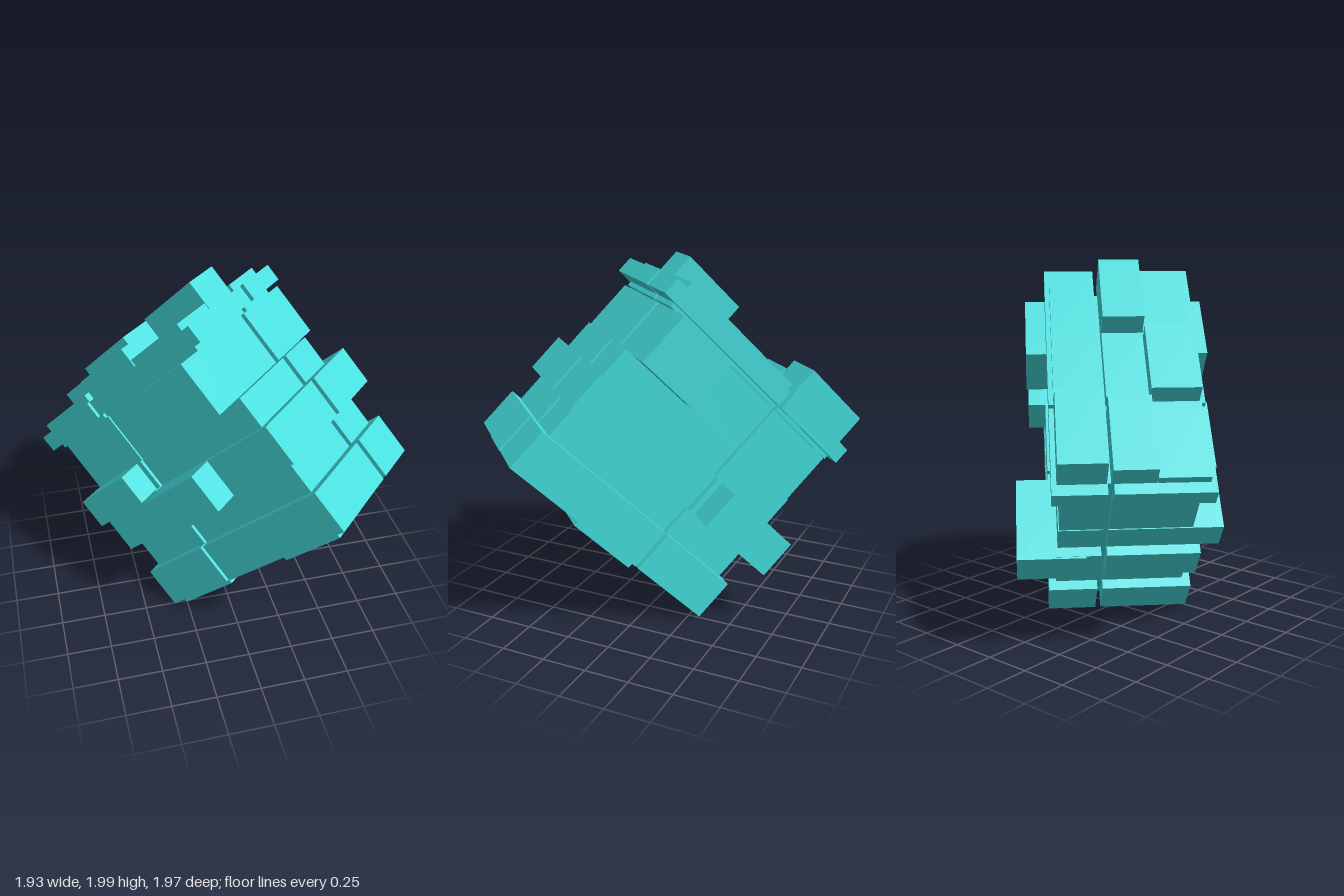
import * as THREE from 'three';

// Block puzzle tilted onto one edge. Local axes: u across, v along, w through the stacked layers.
export function createModel() {
  const model = new THREE.Group();
  model.name = 'blockPuzzle';
  const tilted = new THREE.Group();
  tilted.name = 'tiltedBlocks';
  const s = Math.SQRT1_2;
  const basis = new THREE.Matrix4().makeBasis(
    new THREE.Vector3(s, 0, -s),
    new THREE.Vector3(0.5, s, 0.5),
    new THREE.Vector3(0.5, -s, 0.5) // opposite of w
  );
  tilted.quaternion.setFromRotationMatrix(basis);
  model.add(tilted);

  const material = new THREE.MeshStandardMaterial({ color: 0x44dddd, flatShading: true });

  // Box from its ranges along u, v and w
  function block(name, [u0, u1], [v0, v1], [w0, w1]) {
    const mesh = new THREE.Mesh(new THREE.BoxGeometry(u1 - u0, v1 - v0, w1 - w0), material);
    mesh.position.set((u0 + u1) / 2, (v0 + v1) / 2, -(w0 + w1) / 2);
    mesh.name = name;
    tilted.add(mesh);
  }

  // Layer cut in four by the two grooves
  const uCut = [0.09, 0.12], vCut = [0.475, 0.497];
  function layer(name, [u0, u1], [v0, v1], w) {
    for (const u of [[u0, uCut[0]], [uCut[1], u1]])
      for (const v of [[v0, vCut[0]], [vCut[1], v1]]) block(name, u, v, w);
  }

  // Core closing the bottom of the grooves
  block('core', [-0.34, 0.32], [0.05, 1.27], [0.07, 1.27]);

  // Stacked layers, alternately wide and inset
  const wide = [-0.41, 0.39], inset = [-0.365, 0.35];
  layer('bottomLayer', wide, [-0.035, 1.42], [0.035, 0.28]);
  layer('lowerInsetLayer', inset, [0.02, 1.365], [0.28, 0.46]);
  layer('middleLayer', wide, [-0.04, 1.427], [0.46, 0.69]);
  layer('upperInsetLayer', inset, [0.015, 1.365], [0.69, 0.87]);
  layer('upperLayer', [-0.35, 0.345], [0.02, 1.31], [0.87, 1.18]);
  layer('neckLayer', [-0.37, 0.36], [0.02, 1.34], [1.18, 1.207]);
  layer('topLayer', wide, [-0.035, 1.424], [1.207, 1.305]);

  // Blocks standing out of the sides
  block('middleRightFootBlock', [0.2, 0.565], [-0.05, 0.44], [0.46, 0.688]);
  block('middleLeftBlock', [-0.565, -0.3], [0.497, 0.954], [0.46, 0.69]);
  block('middleRightHeadBlock', [0.2, 0.487], [0.953, 1.427], [0.46, 0.69]);
  block('insetLeftBlock', [-0.513, -0.3], [0.015, 0.44], [0.69, 0.87]);
  block('upperLeftBlock', [-0.492, -0.3], [0.93, 1.31], [0.87, 1.18]);
  block('upperRightBlock', [0.2, 0.498], [0.93, 1.31], [0.87, 1.18]);

  // Thin tiles under the bottom layer
  const cols = [[-0.38, -0.122], [-0.118, 0.1], [0.125, 0.365]];
  const rows = [[0.025, 0.465], [0.51, 0.925], [0.935, 1.345]];
  for (const [c, r] of [[0, 0], [0, 2], [2, 1]])
    block('bottomTile', cols[c], rows[r], [0.003, 0.06]);

  // Tiles of different heights on the top layer
  const heights = [
    [1.35, 1.425, 1.486],
    [1.42, 1.345, 1.345],
    [1.345, 1.475, 1.345],
  ];
  heights.forEach((row, r) => row.forEach((top, c) => block('topTile', cols[c], rows[r], [1.25, top])));
  // Fillers joining the low tiles into one surface
  block('topTileJoin', [0.125, 0.365], [0.9, 0.96], [1.25, 1.345]);
  block('topTileJoin', [-0.37, 0.1], [0.92, 0.94], [1.25, 1.345]);

  return model;
}
